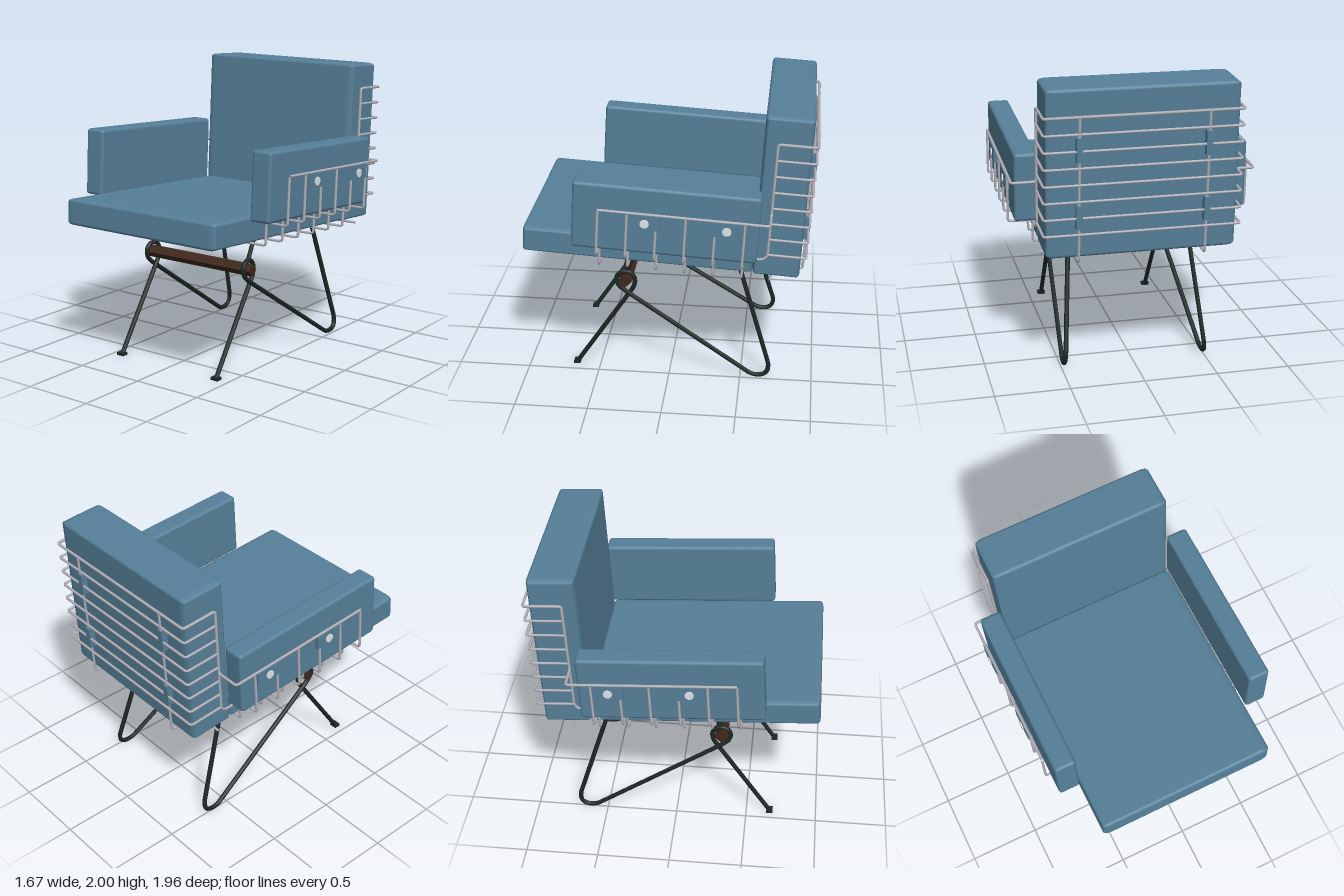
import * as THREE from 'three';
import { RoundedBoxGeometry } from 'three/addons/geometries/RoundedBoxGeometry.js';

const material = (name, color) => {
  const m = new THREE.MeshStandardMaterial({ color });
  m.name = name;
  return m;
};

// Polyline with rounded bends, swept as a round rod
function rodGeometry(points, radius, bend, sides) {
  const p = points.map((a) => new THREE.Vector3(...a));
  const path = new THREE.CurvePath();
  let from = p[0];
  for (let i = 1; i < p.length - 1; i++) {
    const r = Math.min(bend, p[i].distanceTo(p[i - 1]) * 0.48, p[i].distanceTo(p[i + 1]) * 0.48);
    const a = p[i].clone().add(p[i - 1].clone().sub(p[i]).setLength(r));
    const b = p[i].clone().add(p[i + 1].clone().sub(p[i]).setLength(r));
    path.add(new THREE.LineCurve3(from, a));
    path.add(new THREE.QuadraticBezierCurve3(a, p[i], b));
    from = b;
  }
  path.add(new THREE.LineCurve3(from, p[p.length - 1]));
  const segments = points.length === 2 ? 1 : Math.ceil(path.getLength() / 0.012);
  return new THREE.TubeGeometry(path, segments, radius, sides, false);
}

export function createModel() {
  const fabric = material('blue fabric', 0x568099);
  const wire = material('grey wire', 0xb6b4bc);
  const iron = material('black iron', 0x1c2725);
  const wood = material('dark wood', 0x40281c);
  const button = material('pale button', 0xe8ecee);

  const model = new THREE.Group();
  model.name = 'armchair';
  const add = (parent, name, geometry, mat, x = 0, y = 0, z = 0) => {
    const mesh = new THREE.Mesh(geometry, mat);
    mesh.name = name;
    mesh.position.set(x, y, z);
    parent.add(mesh);
    return mesh;
  };

  // Body: cushions and wire basket, leaning back slightly
  const body = new THREE.Group();
  body.name = 'body';
  body.rotation.x = -0.058;
  model.add(body);

  // The edge rounding is made wider along x by the factor widen
  const cushion = (name, widen, x0, x1, y0, y1, z0, z1) => {
    const geometry = new RoundedBoxGeometry((x1 - x0) / widen, y1 - y0, z1 - z0, 2, 0.022);
    geometry.scale(widen, 1, 1);
    add(body, name, geometry, fabric, (x0 + x1) / 2, (y0 + y1) / 2, (z0 + z1) / 2);
  };
  cushion('seatCushion', 2.5, -0.63, 0.63, 0.92, 1.1, -0.518, 1.035);
  cushion('backCushion', 2.5, -0.63, 0.63, 0.913, 2.035, -0.832, -0.518);
  cushion('leftArmCushion', 1, 0.635, 0.785, 1.07, 1.535, -0.543, 0.68);
  cushion('rightArmCushion', 1, -0.785, -0.635, 1.07, 1.535, -0.543, 0.68);

  const IN = 0.65, OUT = 0.815, FLOOR = 0.89, LEDGE = 1.043, ARM = 1.366, TOP = 1.864;
  const FRONT = 0.505, CORNER = -0.61, REAR = -0.865;
  const addWire = (name, points, radius = 0.009, bend = 0.02) =>
    add(body, name, rodGeometry(points, radius, bend, 6), wire);
  // Extends a left-hand run of points with its mirror image
  const both = (half) => [...half, ...half.map(([x, y, z]) => [-x, y, z]).reverse()];

  // Rim: along each arm, up the back corner and across the top
  addWire('basketRim', both([
    [OUT, ARM, FRONT], [OUT, ARM, CORNER], [IN, ARM, CORNER], [IN, TOP, CORNER], [IN, TOP, REAR],
  ]), 0.01);

  // Stepped wires under the seat and up the arms
  for (let i = 0; i < 6; i++) {
    const z = FRONT - i * 0.191;
    addWire('crossWire', both([[OUT, ARM, z], [OUT, LEDGE, z], [IN, LEDGE, z], [IN, FLOOR, z]]));
  }
  addWire('rearCrossWire', both([[IN, FLOOR, -0.64]]));

  // Wires wrapping the back
  for (let i = 1; i < 8; i++) {
    const y = TOP - i * 0.1116;
    addWire('backWire', both([[IN, y, CORNER], [IN, y, REAR]]));
  }

  for (const s of [1, -1]) {
    addWire('sideWire', [[s * IN, LEDGE, FRONT], [s * IN, LEDGE, CORNER], [s * IN, ARM, CORNER]], 0.009, 0.06);
    addWire('longWire', [[s * 0.42, FLOOR, FRONT], [s * 0.42, FLOOR, -0.853], [s * 0.42, TOP, -0.868]]);
    // Buttoned straps holding the arm cushions
    for (const z of [0.196, -0.336]) {
      add(body, 'armStrap', new THREE.BoxGeometry(0.026, 0.1, 0.2), fabric, s * 0.815, 1.312, z);
      const disc = add(body, 'strapButton', new THREE.CylinderGeometry(0.03, 0.03, 0.008, 16), button,
        s * 0.831, 1.306, z);
      disc.rotation.z = Math.PI / 2;
    }
    // Straps holding the back cushion
    for (const y of [1.2, 1.65]) {
      add(body, 'backStrap', new THREE.BoxGeometry(0.04, 0.16, 0.045), fabric, s * 0.42, y, -0.853);
    }
  }

  // Base: bent rod legs joined by a wooden bar
  const base = new THREE.Group();
  base.name = 'base';
  base.position.x = -0.011;
  model.add(base);

  for (const s of [1, -1]) {
    // One rod: front foot, loop around the bar, back hairpin, up to the seat
    const leg = [
      [0.415, 0.01, 0.665], [0.415, 0.635, 0.25], [0.415, 0.7, 0.242], [0.417, 0.748, 0.28],
      [0.419, 0.748, 0.338], [0.422, 0.708, 0.377], [0.425, 0.645, 0.365], [0.428, 0.603, 0.315],
      [0.488, 0.02, -0.58], [0.49, 0.016, -0.645], [0.489, 0.042, -0.69], [0.484, 0.1, -0.7],
      [0.415, 0.87, -0.465],
    ].map(([x, y, z]) => [s * x, y, z]);
    add(base, 'leg', rodGeometry(leg, 0.016, 0.03, 8), iron);
    add(base, 'frontStrut', rodGeometry([[s * 0.415, 0.74, 0.31], [s * 0.415, 0.895, 0.235]], 0.015, 0, 8), iron);
    add(base, 'foot', new THREE.BoxGeometry(0.055, 0.02, 0.045), iron, s * 0.415, 0.01, 0.668);
  }
  add(base, 'rearRod', rodGeometry([[-0.415, 0.863, -0.465], [0.415, 0.863, -0.465]], 0.01, 0, 8), iron);

  const bar = add(base, 'woodenBar', new THREE.BoxGeometry(0.908, 0.064, 0.064), wood, 0, 0.683, 0.31);
  bar.rotation.x = Math.PI / 4;

  return model;
}
